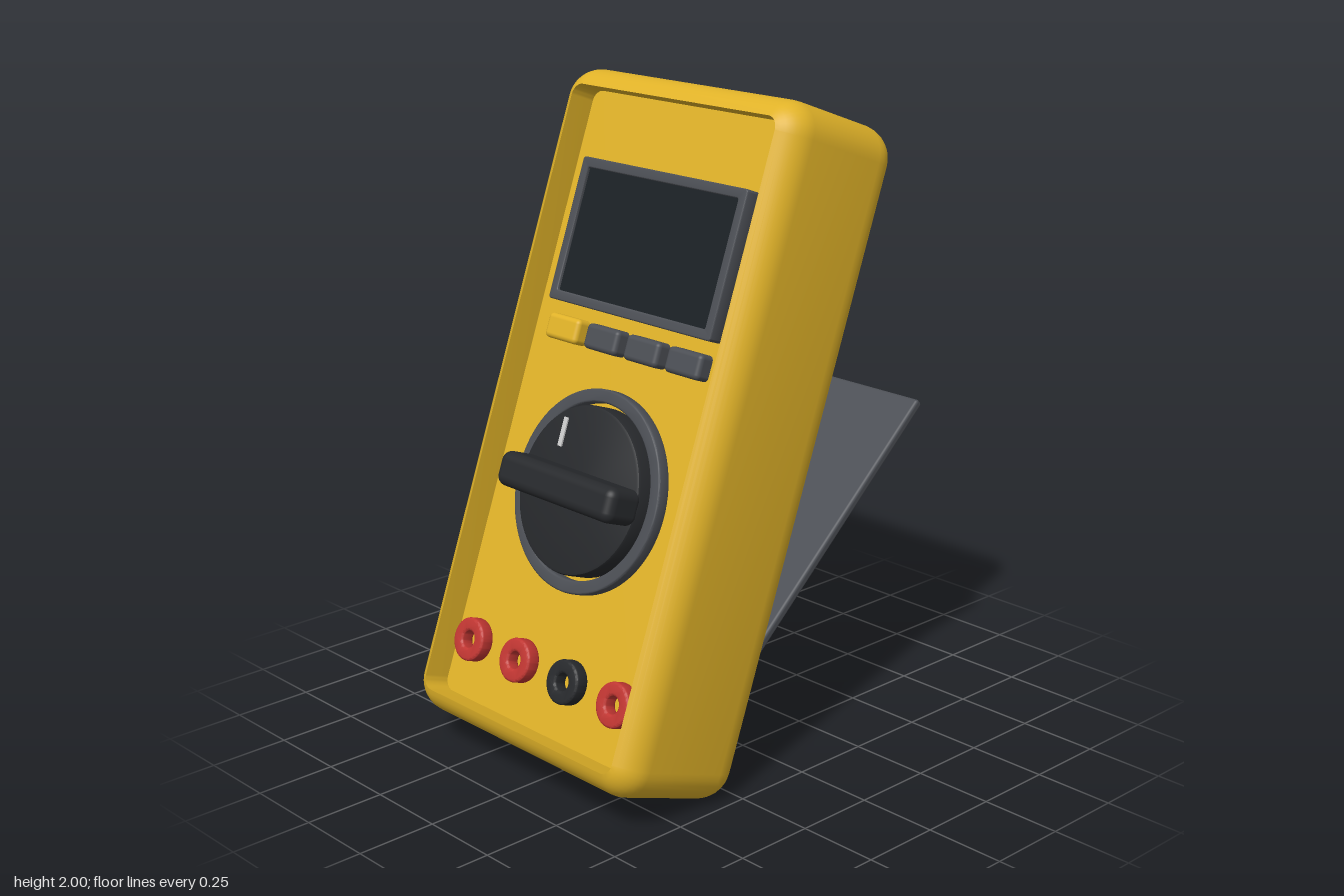
import * as THREE from 'three';
import { toCreasedNormals } from 'three/addons/utils/BufferGeometryUtils.js';
import { RoundedBoxGeometry } from 'three/addons/geometries/RoundedBoxGeometry.js';

const mat = (color) => new THREE.MeshStandardMaterial({ color });
const yellow = mat(0xe0b228);
const grey = mat(0x4b4e54);
const black = mat(0x27292c);
const red = mat(0xc03632);
const glass = mat(0x1a2024);
const white = mat(0xcccccc);

function add(parent, name, geometry, material, x, y, z) {
  const mesh = new THREE.Mesh(geometry, material);
  mesh.name = name;
  mesh.position.set(x, y, z);
  parent.add(mesh);
  return mesh;
}

// Counter-clockwise rounded rectangle
function roundedRect(w, h, r, steps = 8) {
  const pts = [];
  const corners = [[1, -1], [1, 1], [-1, 1], [-1, -1]];
  corners.forEach(([sx, sy], c) => {
    for (let i = 0; i <= steps; i++) {
      const a = (c - 1 + i / steps) * Math.PI / 2;
      pts.push(new THREE.Vector2(
        sx * (w / 2 - r) + r * Math.cos(a),
        sy * (h / 2 - r) + r * Math.sin(a)));
    }
  });
  return pts;
}

// Rounded case with a tray sunk into its front, lofted from inset outlines
function caseGeometry(w, h, d, r, rim, floorZ) {
  const profile = [];
  for (let i = 0; i <= 8; i++) {
    const a = i / 8 * Math.PI / 2;
    profile.push([r - r * Math.sin(a), -d / 2 + r - r * Math.cos(a)]);
  }
  const stop = Math.acos((r - rim) / r);
  for (let i = 0; i <= 8; i++) {
    const a = i / 8 * Math.asin(Math.sin(stop));
    profile.push([r - r * Math.cos(a), d / 2 - r + r * Math.sin(a)]);
  }
  profile.push([rim, floorZ]);

  const outline = ([inset, z]) =>
    roundedRect(w - 2 * inset, h - 2 * inset, Math.max(r - inset, 0.003))
      .map((p) => [p.x, p.y, z]);
  const loops = profile.map(outline);
  const n = loops[0].length;
  const centre = (z) => Array.from({ length: n }, () => [0, 0, z]);
  loops.unshift(centre(-d / 2));
  loops.push(centre(floorZ));

  const index = [];
  for (let i = 0; i < loops.length - 1; i++) {
    for (let j = 0; j < n; j++) {
      const k = (j + 1) % n;
      const a = i * n + j, b = i * n + k, c = b + n, e = a + n;
      if (i > 0) index.push(a, b, c);
      else index.push(a, c, e);
      if (i > 0 && i < loops.length - 2) index.push(a, c, e);
    }
  }
  const g = new THREE.BufferGeometry();
  g.setAttribute('position', new THREE.Float32BufferAttribute(loops.flat(2), 3));
  g.setIndex(index);
  return toCreasedNormals(g, 0.6);
}

// Extruded outline with a hole and a small bevel; spans z = 0 to depth
function pierced(outer, inner, depth, bevel) {
  const shape = new THREE.Shape(outer);
  shape.holes.push(new THREE.Path(inner));
  const g = new THREE.ExtrudeGeometry(shape, {
    depth: depth - 2 * bevel, bevelSize: bevel, bevelThickness: bevel,
    bevelOffset: -bevel, bevelSegments: 3,
  });
  g.translate(0, 0, bevel);
  return toCreasedNormals(g, 0.6);
}

const circle = (r) => new THREE.Path().absarc(0, 0, r, 0, Math.PI * 2).getPoints(48).slice(0, -1);
const washer = (outer, inner, depth, bevel) => pierced(circle(outer), circle(inner), depth, bevel);

export function createModel() {
  const model = new THREE.Group();
  model.name = 'multimeter';

  // Everything but the stand leans back together
  const meter = new THREE.Group();
  meter.name = 'meter';
  meter.rotation.x = -THREE.MathUtils.degToRad(20);
  model.add(meter);
  const floor = 0.64;

  add(meter, 'case', caseGeometry(0.976, 2.01, 0.49, 0.1, 0.064, floor - 0.49), yellow, 0, 0.886, 0.49);

  // Display
  add(meter, 'displayFrame',
    pierced(roundedRect(0.694, 0.436, 0.01), roundedRect(0.634, 0.376, 0.006), 0.05, 0.004),
    grey, 0, 1.403, floor);
  add(meter, 'displayScreen', new THREE.BoxGeometry(0.65, 0.39, 0.04), glass, 0, 1.405, floor + 0.02);

  // Row of buttons
  for (let i = 0; i < 4; i++) {
    add(meter, 'button', new RoundedBoxGeometry(0.14, 0.076, 0.07, 4, 0.015),
      i === 0 ? yellow : grey, (i - 1.5) * 0.174, 1.108, floor + 0.012);
  }

  // Rotary selector
  const dialY = 0.67;
  add(meter, 'dialRing', washer(0.302, 0.262, 0.04, 0.006), grey, 0, dialY, floor);
  const dialProfile = [[0, 0], [0.25, 0], [0.25, 0.06], [0.247, 0.067], [0.24, 0.07], [0, 0.07]]
    .map(([x, y]) => new THREE.Vector2(x, y));
  const dial = add(meter, 'dial',
    toCreasedNormals(new THREE.LatheGeometry(dialProfile, 64), 0.6), black, 0, dialY, floor);
  dial.rotation.x = Math.PI / 2;
  add(meter, 'dialGrip', new RoundedBoxGeometry(0.5, 0.105, 0.13, 5, 0.03), black, 0, dialY + 0.002, 0.748);
  add(meter, 'dialMark', new THREE.BoxGeometry(0.016, 0.085, 0.005), white, 0, 0.83, 0.82);

  // Input sockets
  for (let i = 0; i < 4; i++) {
    add(meter, 'socket', washer(0.066, 0.026, 0.046, 0.008),
      i === 2 ? black : red, -0.327 + i * 0.217, 0.125, floor);
  }

  // Folding stand behind the case
  const stand = add(model, 'stand', new RoundedBoxGeometry(0.65, 1.19, 0.03, 3, 0.01), grey, 0, 0.575, -0.255);
  stand.rotation.x = -THREE.MathUtils.degToRad(48.2);

  return model;
}
